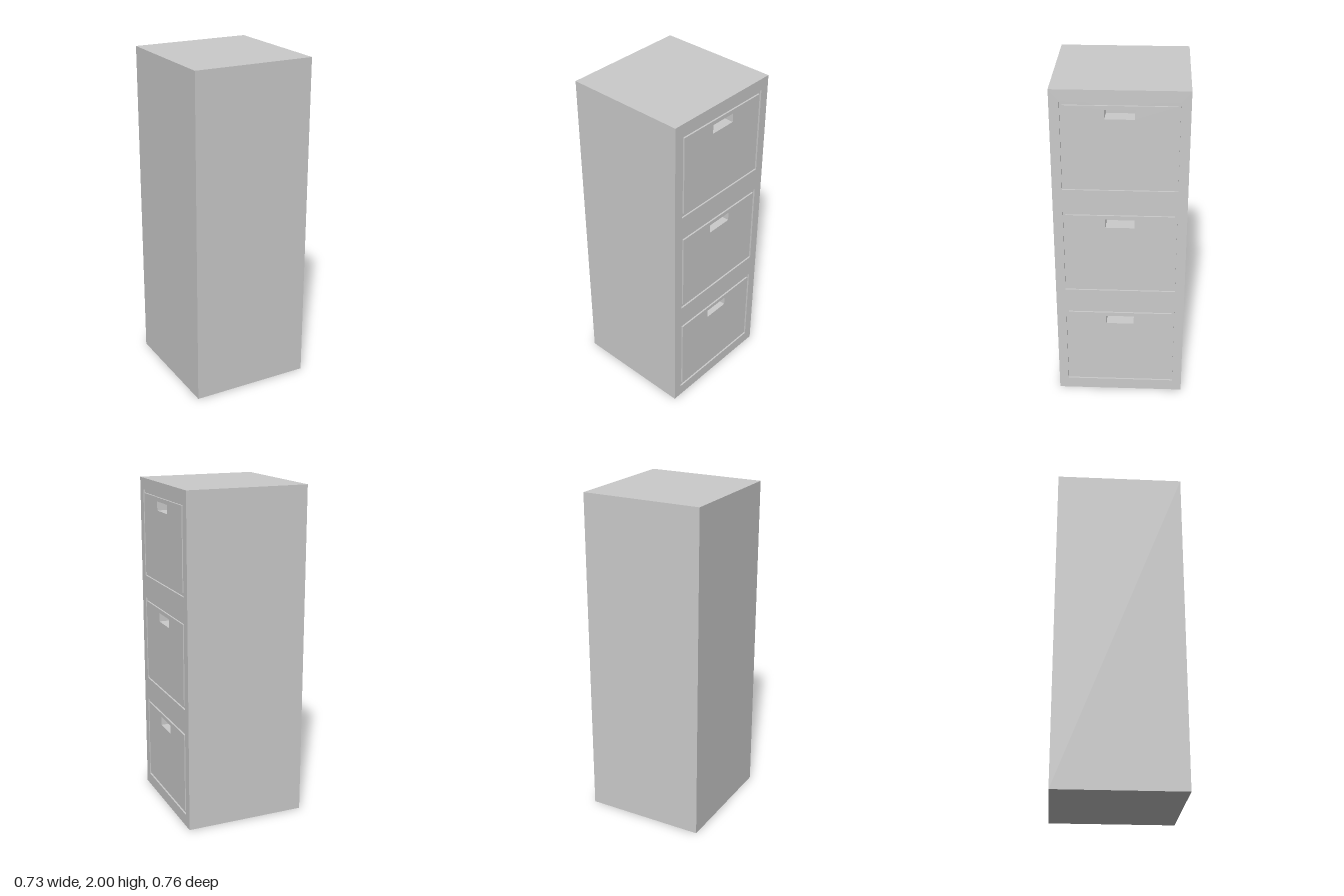
import * as THREE from 'three';

const HALF_X = 0.367, HALF_Z = 0.381, HEIGHT = 2;
const GROOVE = 0.01;   // depth of the gap around each drawer
const POCKET = 0.09;   // depth of the handle recess
const DRAWER_BASES = [0.072, 0.738, 1.405];
const OPENING_H = 0.526;

const material = new THREE.MeshStandardMaterial({ color: 0xcccccc, flatShading: true });

// Rectangle centred across the width, from y0 to y1
function rect(Type, halfWidth, y0, y1) {
  return new Type([
    new THREE.Vector2(-halfWidth, y0), new THREE.Vector2(halfWidth, y0),
    new THREE.Vector2(halfWidth, y1), new THREE.Vector2(-halfWidth, y1),
  ]);
}

// Upright plate with holes, facing +x, its back at x
function plate(name, outline, holes, x, depth) {
  outline.holes.push(...holes);
  const geometry = new THREE.ExtrudeGeometry(outline, { depth, bevelEnabled: false });
  geometry.rotateY(Math.PI / 2).translate(x, 0, 0);
  const mesh = new THREE.Mesh(geometry, material);
  mesh.name = name;
  return mesh;
}

const handleHole = (base) => rect(THREE.Path, 0.082, base + 0.429, base + 0.482);

export function createModel() {
  const group = new THREE.Group();
  group.name = 'filingCabinet';

  // Solid carcass behind the handle recesses
  const coreW = 2 * HALF_X - POCKET;
  const core = new THREE.Mesh(new THREE.BoxGeometry(coreW, HEIGHT, 2 * HALF_Z), material);
  core.position.set(-POCKET / 2, HEIGHT / 2, 0);
  core.name = 'carcass';
  group.add(core);

  // Layer pierced by the handle recesses, its face is the groove floor
  group.add(plate('recessLayer', rect(THREE.Shape, HALF_Z, 0, HEIGHT),
    DRAWER_BASES.map(handleHole), HALF_X - POCKET, POCKET - GROOVE));

  // Outer frame with one opening per drawer
  group.add(plate('frontFrame', rect(THREE.Shape, HALF_Z, 0, HEIGHT),
    DRAWER_BASES.map((b) => rect(THREE.Path, 0.325, b, b + OPENING_H)),
    HALF_X - GROOVE, GROOVE));

  // Drawer fronts, flush with the frame
  DRAWER_BASES.forEach((b, i) => {
    group.add(plate(`drawerFront${i + 1}`,
      rect(THREE.Shape, 0.31, b + 0.022, b + OPENING_H - 0.02),
      [handleHole(b)], HALF_X - GROOVE, GROOVE));
  });

  return group;
}
